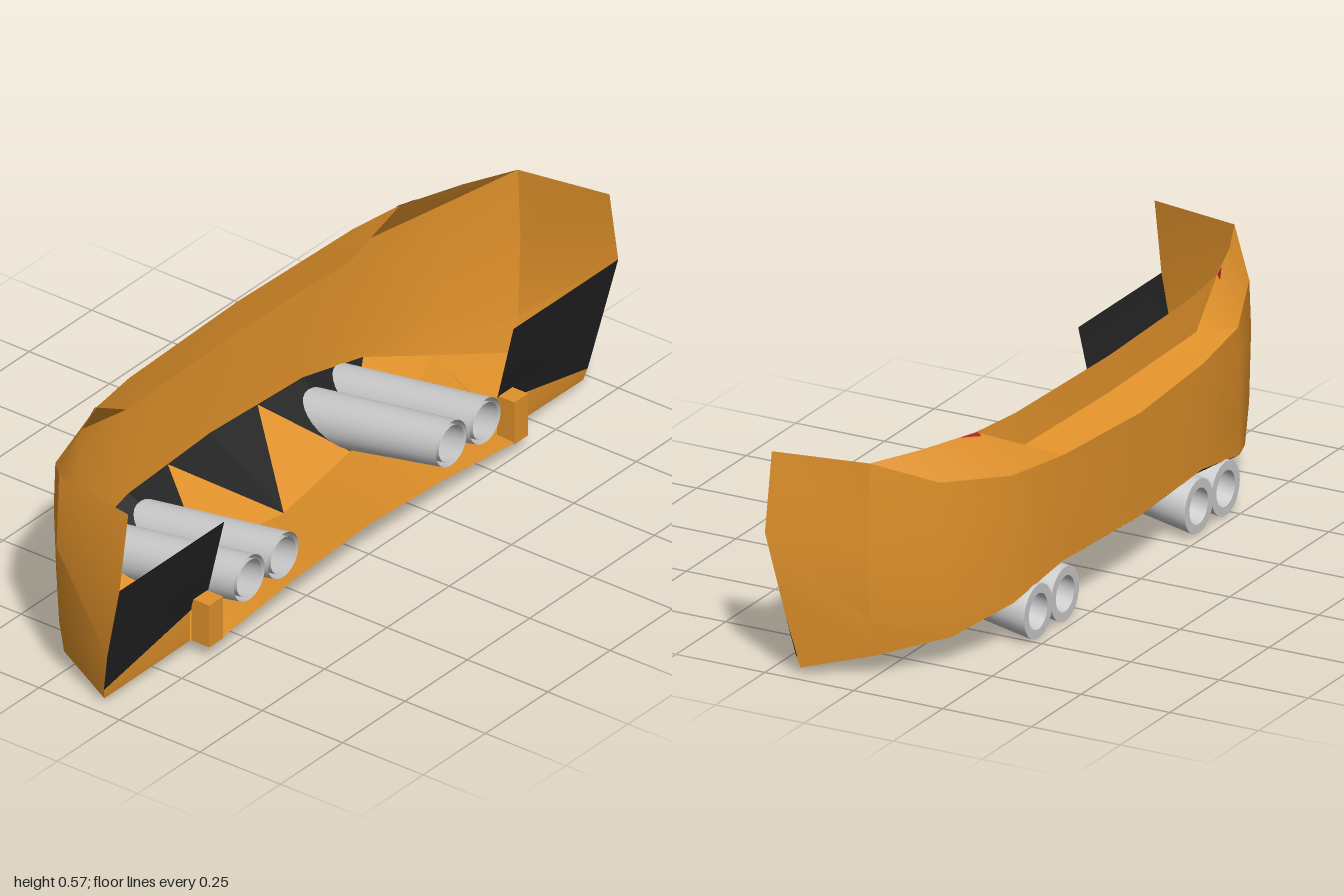
import * as THREE from 'three';
import { toCreasedNormals } from 'three/addons/utils/BufferGeometryUtils.js';

const paint = (color) => new THREE.MeshStandardMaterial({ color, side: THREE.DoubleSide });
const orange = paint(0xe0912a), black = paint(0x222222), red = paint(0xa81522);
const grey = paint(0xcccccc);

// Reflects a half list of columns across x = 0 into a full list
const mirrorColumns = (half) => [
  ...half.filter((c) => c[0][0] !== 0).reverse().map((c) => c.map(([x, y, z]) => [-x, y, z])),
  ...half,
];

// Sheet lofted through columns of points
function sheet(name, columns, material, crease = 0.5) {
  const n = columns[0].length, index = [];
  for (let i = 0; i < columns.length - 1; i++) {
    for (let j = 0; j < n - 1; j++) {
      const a = i * n + j, b = a + n;
      index.push(a, a + 1, b, b, a + 1, b + 1);
    }
  }
  const g = new THREE.BufferGeometry();
  g.setAttribute('position', new THREE.Float32BufferAttribute(columns.flat(2), 3));
  g.setIndex(index);
  g.computeVertexNormals();
  const mesh = new THREE.Mesh(toCreasedNormals(g, crease), material);
  mesh.name = name;
  return mesh;
}

// Loose triangles, given on the +x side and repeated on the -x side
function mirroredTriangles(name, tris, material) {
  const other = tris.map(([a, b, c]) => [a, c, b].map(([x, y, z]) => [-x, y, z]));
  const g = new THREE.BufferGeometry();
  g.setAttribute('position', new THREE.Float32BufferAttribute([...tris, ...other].flat(2), 3));
  g.computeVertexNormals();
  const mesh = new THREE.Mesh(g, material);
  mesh.name = name;
  return mesh;
}

// Exhaust pipe: sloping tube with upright ends and a thick rear lip
function exhaustPipe(x) {
  const profile = [[0.062, 0.47], [0.071, 0], [0.047, 0], [0.05, 0.47]]
    .map(([r, t]) => new THREE.Vector2(r, t));
  const g = new THREE.LatheGeometry(profile, 28);
  g.rotateX(Math.PI / 2);
  const p = g.attributes.position;
  for (let i = 0; i < p.count; i++) {
    p.setXYZ(i, p.getX(i) + x, p.getY(i) + 0.072 + 0.177 * p.getZ(i), p.getZ(i) - 0.225);
  }
  const mesh = new THREE.Mesh(toCreasedNormals(g, 0.6), grey);
  mesh.name = 'exhaustPipe';
  return mesh;
}

export function createModel() {
  const model = new THREE.Group();
  model.name = 'rearBumper';

  // Outer skin, centre to side, each column from top to bottom
  model.add(sheet('outerSkin', mirrorColumns([
    [[0, 0.44, -0.25], [0, 0.37, -0.249], [0, 0.22, -0.246], [0, 0.165, -0.245]],
    [[0.35, 0.445, -0.23], [0.35, 0.37, -0.23], [0.35, 0.22, -0.228], [0.35, 0.165, -0.227]],
    [[0.57, 0.46, -0.205], [0.57, 0.37, -0.21], [0.57, 0.2, -0.21], [0.57, 0.125, -0.21]],
    [[0.78, 0.497, -0.12], [0.78, 0.37, -0.125], [0.77, 0.18, -0.125], [0.74, 0.078, -0.13]],
    [[0.92, 0.573, 0], [0.93, 0.37, 0], [0.92, 0.155, 0], [0.9, 0.058, 0]],
    [[0.965, 0.573, 0.25], [1, 0.37, 0.25], [0.985, 0.155, 0.2], [0.96, 0.015, 0.172]],
  ]), orange, 0.6));

  // Top ledge rising into the corners
  model.add(sheet('topLedge', mirrorColumns([
    [[0, 0.48, -0.165], [0, 0.44, -0.25]],
    [[0.45, 0.48, -0.155], [0.35, 0.445, -0.23]],
    [[0.61, 0.573, -0.125], [0.57, 0.46, -0.205]],
    [[0.78, 0.573, -0.065], [0.78, 0.497, -0.12]],
    [[0.92, 0.573, 0], [0.92, 0.573, 0]],
  ]), orange));

  // Upright panel behind the ledge
  model.add(sheet('upperPanel', mirrorColumns([
    [[0, 0.573, -0.16], [0, 0.48, -0.165]],
    [[0.45, 0.573, -0.147], [0.45, 0.48, -0.155]],
    [[0.61, 0.573, -0.125], [0.61, 0.573, -0.125]],
  ]), orange));

  // Small red lamp corners
  model.add(mirroredTriangles('lampCorner', [
    [[0.605, 0.573, -0.128], [0.66, 0.573, -0.109], [0.6, 0.562, -0.138]],
  ], red));

  // Floor with a shallow keel
  const tip0 = [0, 0.02, -0.015], tip1 = [0.3, 0.045, -0.04];
  const tip2 = [0.6, 0.06, -0.07], corner = [0.74, 0.078, -0.13];
  model.add(sheet('floor', mirrorColumns([
    [tip0, [0, 0.085, 0.25]],
    [tip1, [0.3, 0.07, 0.25]],
    [tip2, [0.6, 0.04, 0.25]],
    [corner, [0.64, 0.035, 0.19]],
    [[0.9, 0.058, 0], [0.96, 0.015, 0.172]],
  ]), orange));

  // Rear ramp: orange and black teeth
  const lip0 = [0, 0.165, -0.245], lip1 = [0.18, 0.165, -0.236];
  const lip2 = [0.35, 0.165, -0.227], lip3 = [0.57, 0.125, -0.21];
  model.add(mirroredTriangles('rampTeeth', [
    [tip0, lip1, tip1], [tip1, lip3, tip2], [tip2, lip3, corner],
  ], orange));
  model.add(mirroredTriangles('diffuser', [
    [tip0, lip0, lip1], [tip1, lip1, lip2], [tip1, lip2, lip3],
  ], black));

  for (const s of [1, -1]) {
    const flip = (cols) => cols.map((c) => c.map(([x, y, z]) => [s * x, y, z]));

    // Wheel arch liner and the strip under it
    model.add(sheet('archLiner', flip([
      [[0.58, 0.37, 0.25], [0.58, 0.155, 0.2], [0.64, 0.12, 0.19]],
      [[1, 0.37, 0.25], [0.985, 0.155, 0.2], [0.97, 0.045, 0.178]],
    ]), black));
    model.add(sheet('archLowerStrip', flip([
      [[0.64, 0.12, 0.19], [0.64, 0.035, 0.19]],
      [[0.97, 0.045, 0.178], [0.96, 0.015, 0.172]],
    ]), orange));

    // Bracket at the inner end of the liner
    const bracket = new THREE.Mesh(new THREE.BoxGeometry(0.055, 0.12, 0.055), orange);
    bracket.position.set(s * 0.612, 0.097, 0.222);
    bracket.name = 'bracket';
    model.add(bracket);

    // Twin exhausts
    for (const x of [0.337, 0.473]) model.add(exhaustPipe(s * x));
  }
  return model;
}
